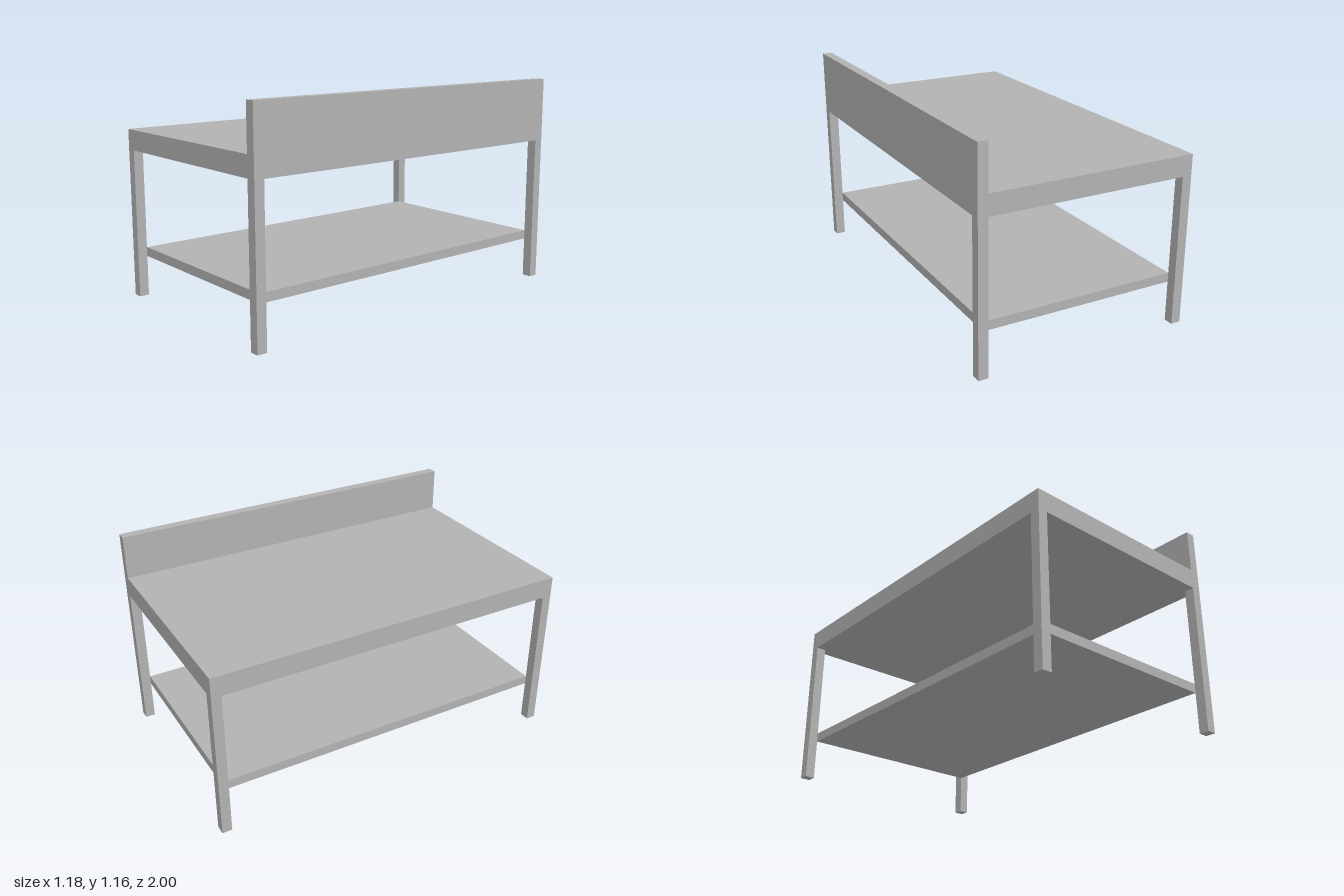
import * as THREE from 'three';

export function createModel() {
  const group = new THREE.Group();
  group.name = 'workbench';
  const grey = new THREE.MeshStandardMaterial({ color: 0xb2b2b2 });
  grey.name = 'grey';

  const halfX = 0.592, halfZ = 1, post = 0.053;
  const underside = 0.81, topY = 0.92, backY = 1.16;

  const add = (name, geometry, x = 0, y = 0, z = 0) => {
    const mesh = new THREE.Mesh(geometry, grey);
    mesh.name = name;
    mesh.position.set(x, y, z);
    group.add(mesh);
  };

  // Thick worktop with its upstand, one L-shaped section along z
  const section = new THREE.Shape([
    [-halfX, underside], [halfX, underside], [halfX, backY],
    [halfX - post, backY], [halfX - post, topY], [-halfX, topY],
  ].map(([x, y]) => new THREE.Vector2(x, y)));
  add('worktopWithUpstand',
    new THREE.ExtrudeGeometry(section, { depth: 2 * halfZ, bevelEnabled: false }), 0, 0, -halfZ);

  // Four square legs at the corners
  const legGeometry = new THREE.BoxGeometry(post, underside, post);
  for (const [xName, sx] of [['left', 1], ['right', -1]]) {
    for (const [zName, sz] of [['Front', 1], ['Back', -1]]) {
      add(`${xName}${zName}Leg`, legGeometry,
        sx * (halfX - post / 2), underside / 2, sz * (halfZ - post / 2));
    }
  }

  // Lower shelf fitted between the legs
  add('lowerShelf',
    new THREE.BoxGeometry(2 * (halfX - post), 0.05, 2 * (halfZ - post)), 0, 0.245, 0);

  return group;
}
